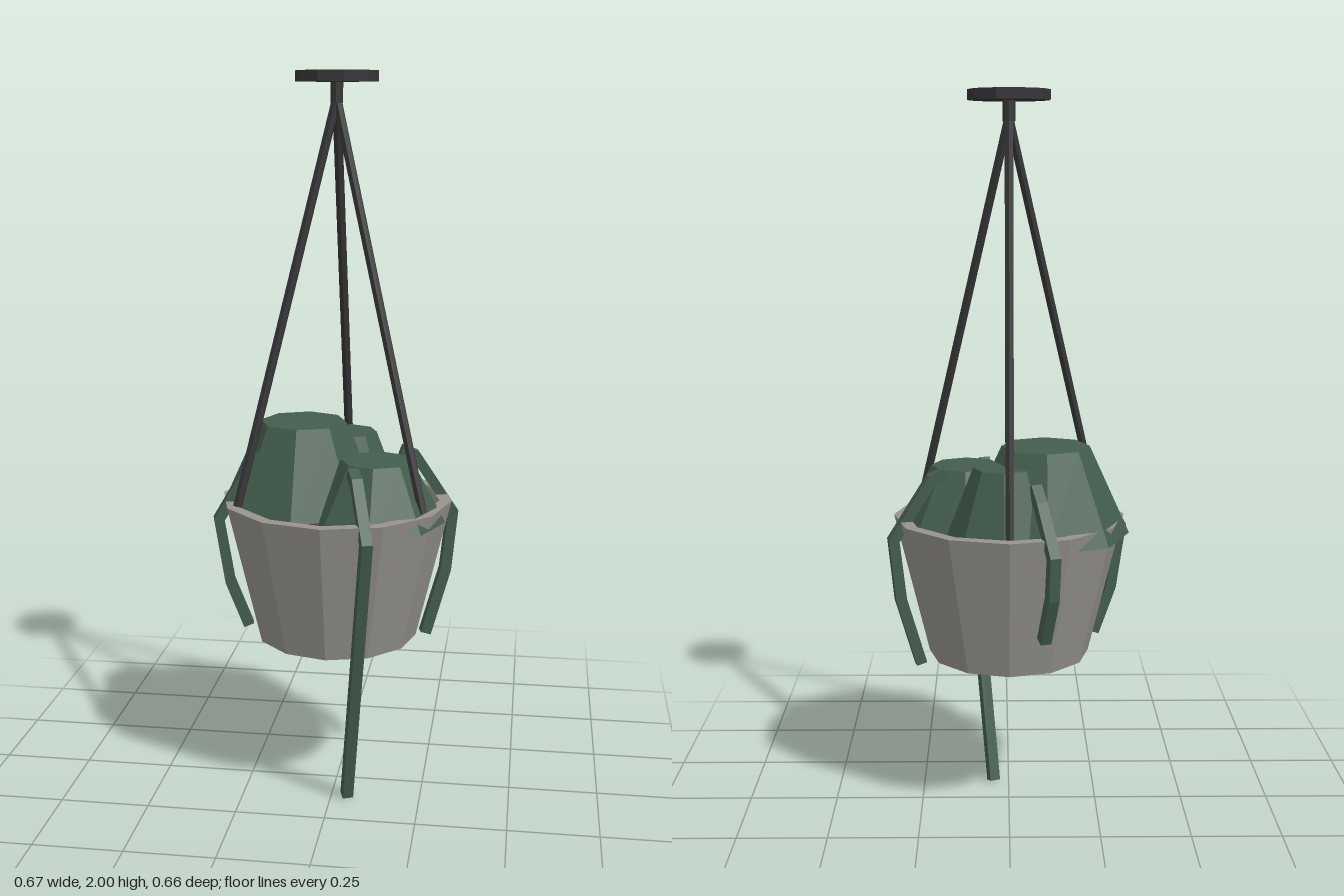
import * as THREE from 'three';

const mats = {
  foliage: new THREE.MeshStandardMaterial({ name: 'leaf green', color: 0x435d4e }),
  pot: new THREE.MeshStandardMaterial({ name: 'stone grey', color: 0x96938c }),
  soil: new THREE.MeshStandardMaterial({ name: 'soil brown', color: 0x4b352c }),
  metal: new THREE.MeshStandardMaterial({ name: 'dark metal', color: 0x353537 }),
};

// Mesh with faceted normals
function part(name, geometry, material) {
  const g = geometry.index ? geometry.toNonIndexed() : geometry;
  g.computeVertexNormals();
  const mesh = new THREE.Mesh(g, material);
  mesh.name = name;
  return mesh;
}

// Square stem swept along [radius, height] points in a vertical plane heading outwards
function vineGeometry(dirX, dirZ, profile, half = 0.015) {
  const out = new THREE.Vector3(dirX, 0, dirZ).normalize();
  const side = new THREE.Vector3(out.z, 0, -out.x);
  const path = profile.map(([r, y]) => out.clone().multiplyScalar(r).setY(y));
  const rings = path.map((p, i) => {
    const a = path[Math.max(i - 1, 0)], b = path[Math.min(i + 1, path.length - 1)];
    const t1 = p.clone().sub(a).normalize(), t2 = b.clone().sub(p).normalize();
    const tangent = t1.add(t2).normalize();
    const n = tangent.cross(side).normalize();
    return [[1, 1], [-1, 1], [-1, -1], [1, -1]].map(([u, v]) =>
      p.clone().addScaledVector(side, u * half).addScaledVector(n, v * half));
  });
  const pts = [];
  const quad = (a, b, c, d) => pts.push(a, b, c, a, c, d);
  for (let i = 0; i < rings.length - 1; i++) {
    for (let j = 0; j < 4; j++) {
      const k = (j + 1) % 4;
      quad(rings[i][j], rings[i][k], rings[i + 1][k], rings[i + 1][j]);
    }
  }
  const s = rings[0], e = rings[rings.length - 1];
  quad(s[3], s[2], s[1], s[0]);
  quad(e[0], e[1], e[2], e[3]);
  return new THREE.BufferGeometry().setFromPoints(pts);
}

export function createModel() {
  const model = new THREE.Group();
  model.name = 'hangingPlanter';

  // Twelve-sided tapered pot with a rim
  const profile = [[0, 0.455], [0.225, 0.455], [0.32, 0.852], [0.286, 0.852], [0.277, 0.8]]
    .map(([x, y]) => new THREE.Vector2(x, y));
  model.add(part('pot', new THREE.LatheGeometry(profile, 12), mats.pot));

  const soil = part('soil', new THREE.CylinderGeometry(0.279, 0.279, 0.02, 12), mats.soil);
  soil.position.y = 0.808;
  model.add(soil);

  // Leaf clumps: [x, z, radius, top height]
  const base = 0.81;
  [[-0.1, -0.045, 0.232, 1.055], [0.12, 0.07, 0.187, 0.978], [0.014, -0.122, 0.16, 1.012]]
    .forEach(([x, z, r, top], i) => {
      const clump = part(`leafClump${i + 1}`,
        new THREE.CylinderGeometry(r * 0.52, r, top - base, 8), mats.foliage);
      clump.position.set(x, (top + base) / 2, z);
      model.add(clump);
    });

  // Trailing vines: heading x, heading z, [radius, height] points
  [
    [0.365, 0.931, [[0.18, 0.965], [0.22, 0.95], [0.325, 0.81], [0.122, 0.004]]],
    [-0.965, 0.26, [[0.2, 0.98], [0.235, 0.955], [0.328, 0.8], [0.3, 0.62], [0.25, 0.488]]],
    [0.965, -0.255, [[0.18, 0.98], [0.22, 0.965], [0.328, 0.8], [0.31, 0.63], [0.255, 0.44]]],
    [-0.34, -0.94, [[0.2, 0.97], [0.24, 0.93], [0.335, 0.81], [0.325, 0.7], [0.27, 0.567]]],
  ].forEach(([dx, dz, pts], i) =>
    model.add(part(`vine${i + 1}`, vineGeometry(dx, dz, pts), mats.foliage)));

  // Three hanging rods from the rim up to the stem
  const top = new THREE.Vector3(0, 1.93, 0);
  for (let i = 0; i < 3; i++) {
    const a = Math.PI + (i * Math.PI * 2) / 3;
    const foot = new THREE.Vector3(Math.sin(a) * 0.29, 0.855, Math.cos(a) * 0.29);
    const dir = top.clone().sub(foot);
    const rod = part(`hangingRod${i + 1}`,
      new THREE.CylinderGeometry(0.013, 0.013, dir.length(), 6), mats.metal);
    rod.position.copy(foot).add(top).multiplyScalar(0.5);
    rod.quaternion.setFromUnitVectors(new THREE.Vector3(0, 1, 0), dir.normalize());
    model.add(rod);
  }

  // Ceiling plate and short stem
  const stem = part('stem', new THREE.CylinderGeometry(0.017, 0.017, 0.06, 8), mats.metal);
  stem.position.y = 1.948;
  const plate = part('ceilingPlate', new THREE.CylinderGeometry(0.11, 0.11, 0.028, 10), mats.metal);
  plate.rotation.y = Math.PI / 2;
  plate.position.y = 1.986;
  model.add(stem, plate);

  return model;
}
